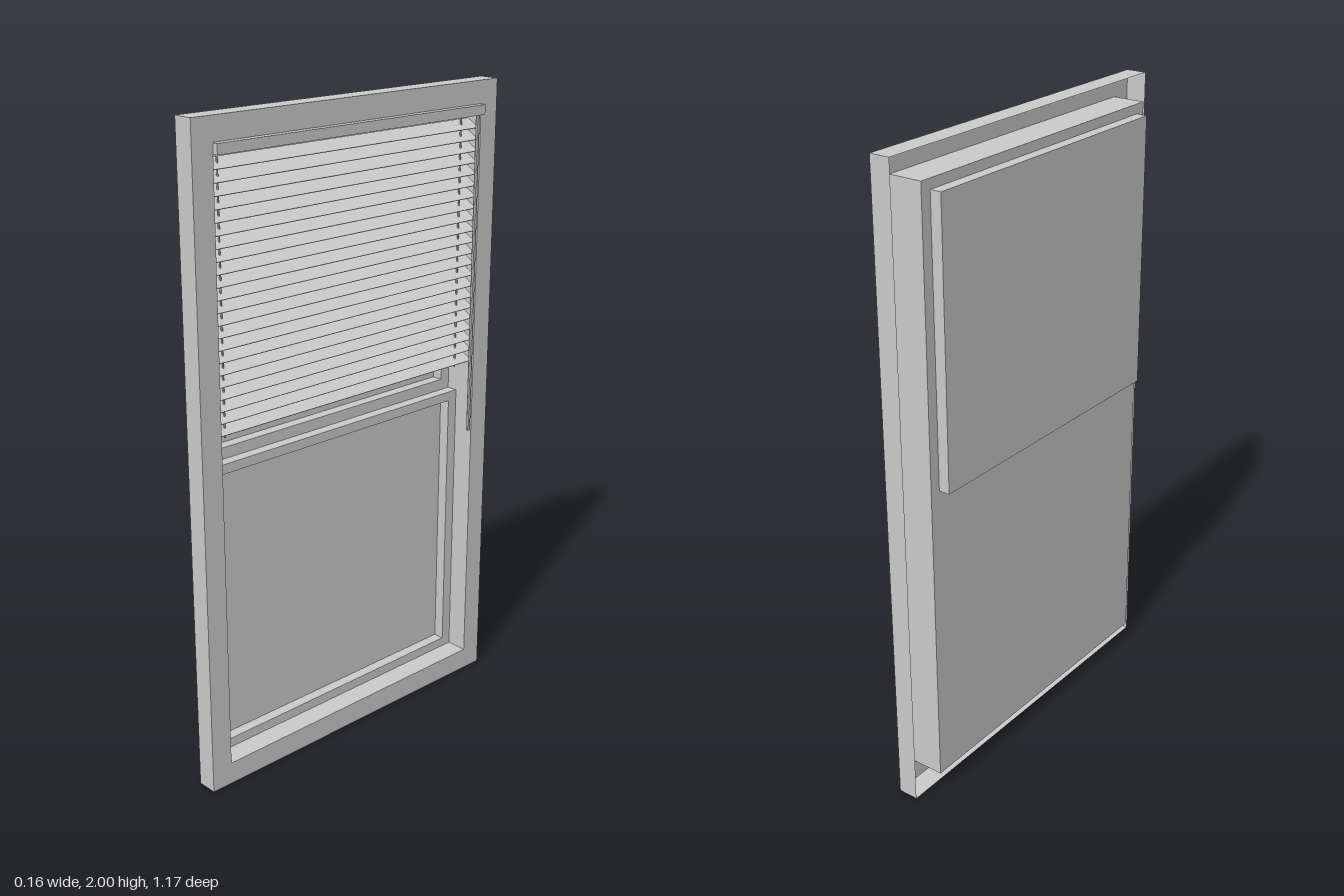
import * as THREE from 'three';

const mat = new THREE.MeshStandardMaterial({ color: 0xcccccc, flatShading: true, side: THREE.DoubleSide });

// Rectangle in the window plane: half width (z), bottom and top (y)
const rect = (w, y0, y1) => ({ w, y0, y1 });

function corners({ w, y0, y1 }) {
  return [[-w, y0], [w, y0], [w, y1], [-w, y1]].map(([a, b]) => new THREE.Vector2(a, b));
}

function add(parent, geometry, name, x = 0, y = 0, z = 0) {
  const mesh = new THREE.Mesh(geometry, mat);
  mesh.name = name;
  mesh.position.set(x, y, z);
  parent.add(mesh);
  return mesh;
}

// Flat face looking toward +x, with an optional rectangular hole
function face(parent, name, outer, x, hole) {
  const shape = new THREE.Shape(corners(outer));
  if (hole) shape.holes.push(new THREE.Path(corners(hole)));
  add(parent, new THREE.ShapeGeometry(shape).rotateY(Math.PI / 2), name, x);
}

// Four thin walls running around a rectangle from x0 to x1
function walls(parent, name, { w, y0, y1 }, x0, x1) {
  const depth = x0 - x1, x = (x0 + x1) / 2;
  for (const s of [-1, 1]) {
    add(parent, new THREE.PlaneGeometry(depth, y1 - y0).rotateY(s < 0 ? Math.PI : 0), name, x, (y0 + y1) / 2, s * w);
    add(parent, new THREE.PlaneGeometry(depth, 2 * w).rotateX(-s * Math.PI / 2), name, x, s < 0 ? y0 : y1, 0);
  }
}

function group(parent, name) {
  const g = new THREE.Group();
  g.name = name;
  parent.add(g);
  return g;
}

export function createModel() {
  const model = new THREE.Group();
  model.name = 'windowWithBlind';

  const FRONT = 0.06, BACK = -0.045, SASH = -0.01;
  const outer = rect(0.585, 0, 2);
  const opening = rect(0.515, 0.07, 1.93);
  const upperPane = rect(0.48, 1.035, 1.9);
  const lowerPane = rect(0.48, 0.1, 0.97);

  // Casing: front trim, outer edge and deep reveal, open at the back
  const casing = group(model, 'casing');
  face(casing, 'trim', outer, FRONT, opening);
  walls(casing, 'outerEdge', outer, FRONT, -0.005);
  walls(casing, 'reveal', opening, FRONT, BACK);

  // Upper sash with its pane set back behind it
  const upper = group(model, 'upperSash');
  face(upper, 'sashFace', opening, BACK, upperPane);
  walls(upper, 'paneEdge', upperPane, BACK, -0.08);
  face(upper, 'upperPane', upperPane, -0.08);

  // Lower sash standing in front of the upper one
  const lower = group(model, 'lowerSash');
  face(lower, 'sashFace', rect(0.515, 0.07, 1.0), SASH, lowerPane);
  walls(lower, 'paneEdge', lowerPane, SASH, BACK);
  add(lower, new THREE.PlaneGeometry(SASH - BACK, 1.03).rotateX(-Math.PI / 2), 'topRail', (SASH + BACK) / 2, 1.0);

  // Blind: head rail, tilted slats, cords and tilt wand
  const blind = group(model, 'blind');
  add(blind, new THREE.BoxGeometry(0.055, 0.03, 1.03), 'headRail', 0.05, 1.914);
  const slat = new THREE.BoxGeometry(0.05, 0.002, 1.028).rotateZ(-Math.PI / 6);
  for (let i = 0; i < 22; i++) add(blind, slat, 'slat', 0.03, 1.128 + i * 0.0353);
  for (const z of [0.48, -0.46]) {
    add(blind, new THREE.CylinderGeometry(0.003, 0.003, 0.8, 6), 'cord', 0.03, 1.5, z);
  }
  add(blind, new THREE.CylinderGeometry(0.006, 0.006, 1.015, 8), 'wand', 0.066, 1.3925, -0.495);

  return model;
}
